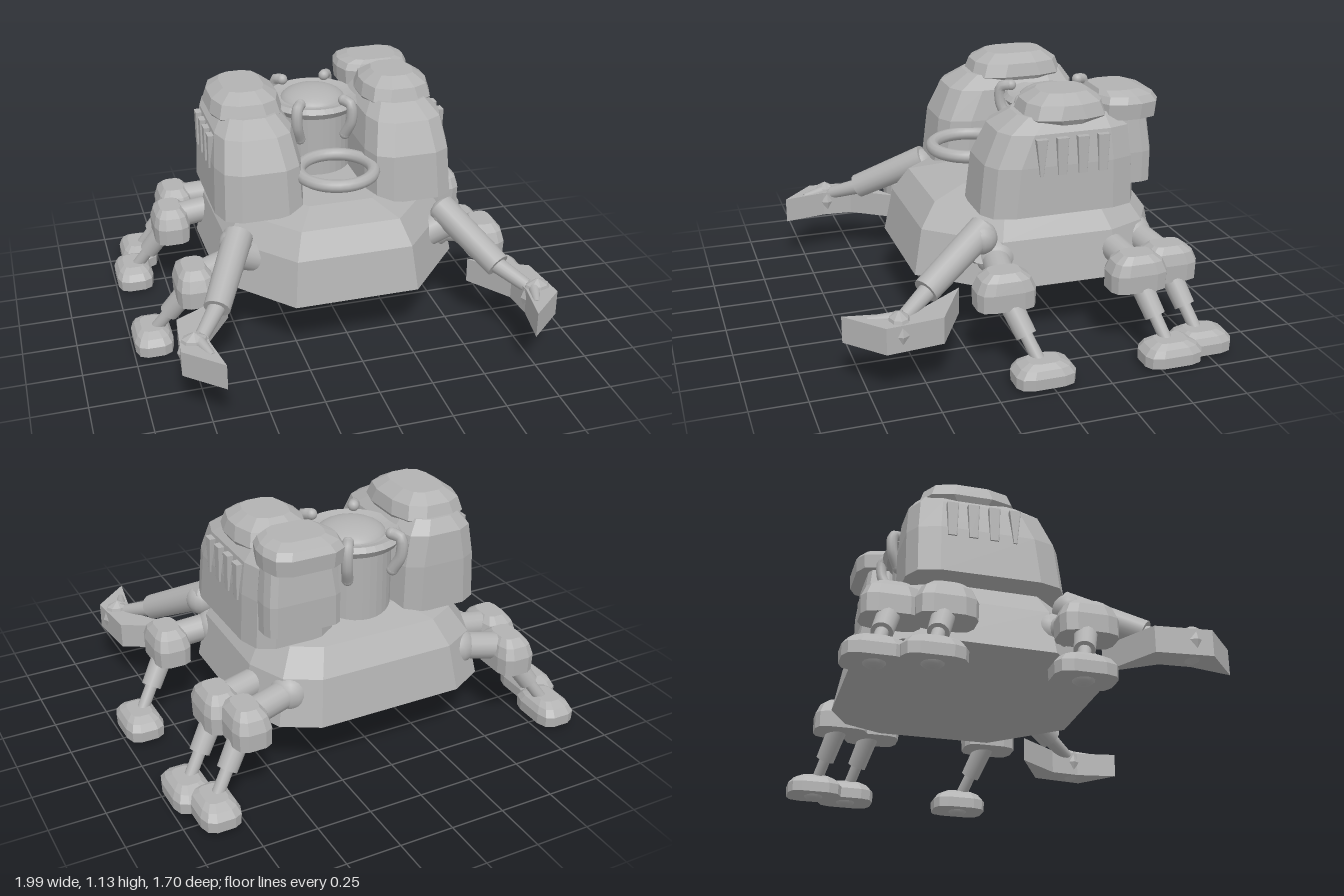
import * as THREE from 'three';

const grey = new THREE.MeshStandardMaterial({ color: 0xb2b2b2, flatShading: true });
const smoothGrey = new THREE.MeshStandardMaterial({ color: 0xb2b2b2 });
grey.name = 'hullGrey';
smoothGrey.name = 'smoothGrey';
smoothGrey.side = THREE.DoubleSide;

export function createModel() {
  const root = new THREE.Group();
  root.name = 'walker';

  const add = (name, geo, mat = grey) => {
    const mesh = new THREE.Mesh(geo, mat);
    mesh.name = name;
    root.add(mesh);
    return mesh;
  };

  // Closed skin through rings of [x, y, z], bottom to top
  function loft(rings) {
    const n = rings[0].length, pos = rings.flat(2), idx = [];
    for (let r = 0; r < rings.length - 1; r++)
      for (let i = 0; i < n; i++) {
        const a = r * n + i, b = r * n + (i + 1) % n;
        idx.push(a, b, b + n, a, b + n, a + n);
      }
    const top = (rings.length - 1) * n;
    for (let i = 1; i < n - 1; i++) idx.push(0, i + 1, i, top, top + i, top + i + 1);
    const g = new THREE.BufferGeometry();
    g.setAttribute('position', new THREE.Float32BufferAttribute(pos, 3));
    g.setIndex(idx);
    g.computeVertexNormals();
    return g;
  }

  // Rounded rectangle ring, three points per corner
  function ring(y, x0, x1, z0, z1, c) {
    const cz = Math.min(c * 1.35, (z1 - z0) * 0.45), pts = [];
    for (let q = 0; q < 4; q++)
      for (let k = 0; k < 3; k++) {
        const a = (q + k / 2) * Math.PI / 2, sx = q < 2 ? 1 : -1, sz = q === 0 || q === 3 ? 1 : -1;
        const px = sx > 0 ? x1 - c : x0 + c, pz = sz > 0 ? z1 - cz : z0 + cz;
        pts.push([px + Math.sin(a) * c, y, pz + Math.cos(a) * cz]);
      }
    return pts;
  }

  // Tapered cylinder between two points
  function rod(name, a, b, r0, r1 = r0) {
    const p = new THREE.Vector3(...a), d = new THREE.Vector3(...b).sub(p);
    const mesh = add(name, new THREE.CylinderGeometry(r1, r0, d.length(), 16), smoothGrey);
    mesh.position.copy(p).addScaledVector(d, 0.5);
    mesh.quaternion.setFromUnitVectors(new THREE.Vector3(0, 1, 0), d.normalize());
  }
  function ball(name, p, r) {
    add(name, new THREE.SphereGeometry(r, 16, 12), smoothGrey).position.set(...p);
  }

  // Hull
  const half = [[0.29, 0.42], [0.57, 0.1], [0.58, -0.45], [0.5, -0.64], [0.34, -0.73]];
  const outline = [...half, ...half.map(([x, z]) => [-x, z]).reverse()];
  add('hull', loft([[0.29, 1], [0.5, 0.93], [0.61, 0.8], [0.65, 0.52]].map(([y, s]) =>
    outline.map(([x, z]) => [x * s, y, (z + 0.15) * s - 0.15]))));

  // Central turret: cup, dome and rim
  const cup = [[0, 0.6], [0.18, 0.6], [0.18, 0.94], [0.21, 0.95], [0.23, 0.98], [0.21, 1.0], [0.17, 0.99], [0, 0.98]];
  add('turret', new THREE.LatheGeometry(cup.map(p => new THREE.Vector2(...p)), 32), grey).position.z = -0.34;
  const dome = add('dome', new THREE.SphereGeometry(0.16, 24, 8, 0, Math.PI * 2, 0, Math.PI / 2), smoothGrey);
  dome.position.set(0, 0.97, -0.34);
  dome.scale.y = 0.44;

  // Clamps around the rim
  for (const s of [-1, 1]) for (const f of [-1, 1]) {
    const at = (r, y) => new THREE.Vector3(s * 0.53 * r, y, -0.34 + f * 0.85 * r);
    const path = new THREE.CatmullRomCurve3([at(0.2, 1.02), at(0.245, 1.01), at(0.25, 0.93), at(0.21, 0.85)]);
    add('rimClamp', new THREE.TubeGeometry(path, 10, 0.026, 10), smoothGrey);
    ball('clampEnd', at(0.2, 1.02).toArray(), 0.026);
    ball('clampFoot', at(0.21, 0.85).toArray(), 0.026);
  }

  // Front hoop
  const hoop = add('frontHoop', new THREE.TorusGeometry(0.173, 0.03, 10, 32), smoothGrey);
  hoop.rotation.x = Math.PI / 2;
  hoop.position.set(0, 0.78, 0.07);

  // Rings written for the left side, flipped for the right
  const sided = (s, y, x0, x1, z0, z1, c) =>
    s > 0 ? ring(y, x0, x1, z0, z1, c) : ring(y, -x1, -x0, z0, z1, c);

  for (const s of [-1, 1]) {
    // Pod and its cap
    add('pod', loft([
      sided(s, 0.62, 0.15, 0.57, -0.55, 0.17, 0.1), sided(s, 0.84, 0.155, 0.56, -0.55, 0.145, 0.1),
      sided(s, 0.98, 0.18, 0.54, -0.54, 0.08, 0.1), sided(s, 1.04, 0.23, 0.49, -0.5, -0.02, 0.08)]));
    const back = s > 0 ? -0.43 : -0.49;
    add('podCap', loft([
      sided(s, 0.99, 0.22, 0.51, back + 0.03, -0.07, 0.1), sided(s, 1.03, 0.195, 0.535, back, -0.04, 0.1),
      sided(s, 1.09, 0.21, 0.52, back + 0.02, -0.06, 0.1), sided(s, 1.13, 0.27, 0.46, back + 0.08, -0.13, 0.06)]));

    // Cooling fins on the outer wall
    for (let i = 0; i < 4; i++) {
      const z = -0.08 - i * 0.095;
      add('fin', loft([[0.8, i ? 0.02 : 0.008], [0.965, 0.026]].map(([y, w]) =>
        sided(s, y, 0.52, 0.57, z - w, z + w, 0.003)))).name = 'coolingFin';
    }

    // Arm
    rod('shoulder', [s * 0.36, 0.42, 0.16], [s * 0.5, 0.48, 0.17], 0.075);
    ball('shoulderJoint', [s * 0.51, 0.53, 0.18], 0.075);
    rod('upperArm', [s * 0.49, 0.56, 0.16], [s * 0.66, 0.385, 0.47], 0.068, 0.06);
    rod('forearm', [s * 0.65, 0.39, 0.45], [s * 0.77, 0.32, 0.61], 0.04, 0.03);
    const wrist = add('wrist', new THREE.SphereGeometry(0.09, 8, 4));
    wrist.position.set(s * 0.79, 0.29, 0.62);
    wrist.scale.set(0.85, 1, 0.65);
    rod('finger', [s * 0.78, 0.34, 0.6], [s * 0.735, 0.33, 0.74], 0.03, 0.015);
    const claw = new THREE.Shape([[0.695, 0.84], [0.86, 0.69], [0.835, 0.44], [0.58, 0.3],
      [0.72, 0.5], [0.73, 0.64]].map(([x, z]) => new THREE.Vector2(s * x, -z)));
    const clawGeo = new THREE.ExtrudeGeometry(claw, { depth: 0.12, bevelEnabled: false });
    add('claw', clawGeo.rotateX(-Math.PI / 2)).position.y = 0.22;

    // Legs: hip, knee and foot as [x, z]
    const d = s > 0 ? 0 : 0.045;
    const legs = [
      [[0.44, 0.1], [0.71, 0.14 + d], [0.905, 0.03 + d * 1.4]],
      [[0.42, -0.42], [0.715, -0.47 + d], [0.905, -0.56 + d]],
      [[0.38, -0.58], [0.66, -0.64], [0.85, -0.73]]];
    for (const [[hx, hz], [kx, kz], [fx, fz]] of legs) {
      ball('hip', [s * (hx + 0.04), 0.42, hz], 0.09);
      rod('thigh', [s * hx, 0.43, hz], [s * kx, 0.39, kz], 0.062);
      add('knee', loft([[0.3, 0.085, 0.13], [0.38, 0.088, 0.132], [0.43, 0.075, 0.11], [0.46, 0.05, 0.07]].map(
        ([y, w, l]) => sided(s, y, kx - w, kx + w, kz - l, kz + l, w * 0.55))));
      const mid = t => [s * (kx + (fx - kx) * t), 0.36 - 0.29 * t, kz + (fz - kz) * t];
      rod('shin', mid(0.05), mid(0.58), 0.05, 0.046);
      rod('ankle', mid(0.5), mid(1), 0.028);
      add('foot', loft([[0.02, 0.088, 0.132], [0.07, 0.09, 0.134], [0.1, 0.075, 0.11], [0.12, 0.05, 0.07]].map(
        ([y, w, l]) => sided(s, y, fx - w, fx + w, fz - l, fz + l, w * 0.55))));
      const pad = add('solePad', new THREE.SphereGeometry(0.05, 12, 8), smoothGrey);
      pad.position.set(s * fx, 0.03, fz);
      pad.scale.y = 0.6;
    }
  }

  // Rear pack on the left pod
  add('rearPack', loft([
    ring(0.71, 0.18, 0.53, -0.62, -0.45, 0.04), ring(0.85, 0.18, 0.53, -0.62, -0.45, 0.04),
    ring(1.02, 0.2, 0.51, -0.6, -0.45, 0.04)]));
  add('rearPackCap', loft([
    ring(1.0, 0.17, 0.52, -0.66, -0.38, 0.08), ring(1.07, 0.165, 0.525, -0.665, -0.38, 0.08),
    ring(1.1, 0.18, 0.51, -0.645, -0.39, 0.08), ring(1.12, 0.23, 0.46, -0.59, -0.4, 0.05)]));

  return root;
}
